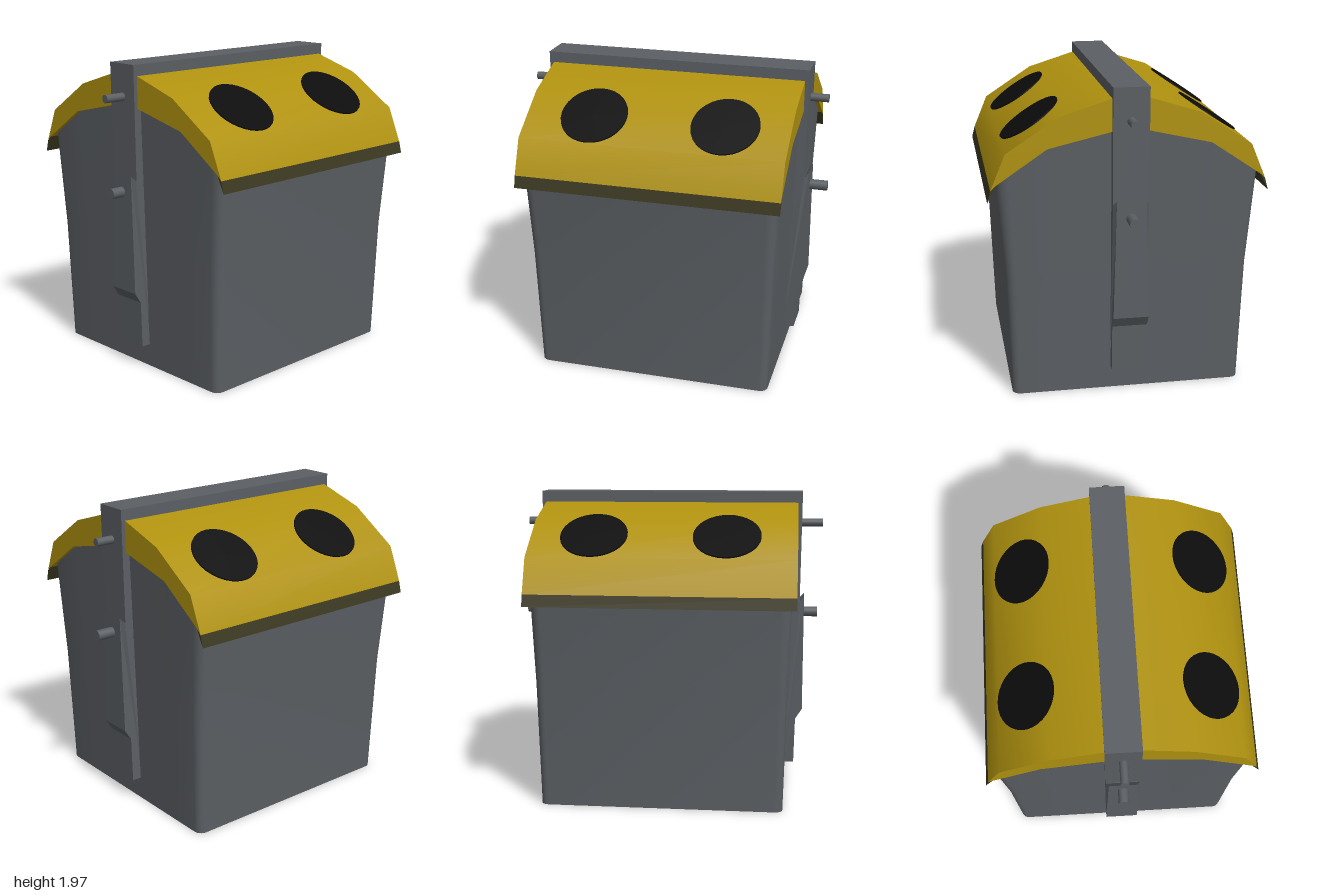
import * as THREE from 'three';
import { toCreasedNormals } from 'three/addons/utils/BufferGeometryUtils.js';

const mat = (name, color) => {
  const m = new THREE.MeshStandardMaterial({ color });
  m.name = name;
  return m;
};

// Extrude a closed outline, centred along its depth
function slab(points, depth) {
  const shape = new THREE.Shape(points.map(([x, y]) => new THREE.Vector2(x, y)));
  return new THREE.ExtrudeGeometry(shape, { depth, bevelEnabled: false }).translate(0, 0, -depth / 2);
}

// Lid half profiles from the ridge outwards
const OUTER = [[0, 1.92], [0.11, 1.9], [0.43, 1.8], [0.75, 1.59], [0.842, 1.37]];
const INNER = [[0, 1.715], [0.11, 1.7], [0.5, 1.61], [0.81, 1.4]];
const flip = (pts) => pts.map(([x, y]) => [-x, y]);

function innerY(x) {
  const a = Math.min(Math.abs(x), 0.81);
  for (let i = 1; i < INNER.length; i++) {
    const [x0, y0] = INNER[i - 1], [x1, y1] = INNER[i];
    if (a <= x1) return y0 + (y1 - y0) * (a - x0) / (x1 - x0);
  }
  return 1.4;
}

// Rounded rectangle loop with extra points along front and back
function ring(w, d, r, yAt) {
  const quarter = [];
  for (const t of [0, 0.11, 0.5]) quarter.push([t * w / 0.81, d]);
  for (let i = 0; i <= 5; i++) {
    const a = (Math.PI / 2) * (1 - i / 5);
    quarter.push([w - r + r * Math.cos(a), d - r + r * Math.sin(a)]);
  }
  const right = [...quarter, ...quarter.slice(1).reverse().map(([x, z]) => [x, -z])];
  right.push([0, -d]);
  const left = right.slice(1, -1).reverse().map(([x, z]) => [-x, z]);
  return [...right, ...left].map(([x, z]) => [x, yAt(x), z]);
}

function bodyGeometry() {
  const rings = [
    ring(0.735, 0.77, 0.05, () => 0),
    ring(0.76, 0.79, 0.06, () => 0.8),
    ring(0.81, 0.813, 0.07, (x) => innerY(x) + 0.015),
  ];
  const n = rings[0].length, pos = rings.flat(2), idx = [];
  for (let k = 0; k < rings.length - 1; k++) {
    for (let i = 0; i < n; i++) {
      const a = k * n + i, b = k * n + (i + 1) % n;
      idx.push(a, b, b + n, a, b + n, a + n);
    }
  }
  for (let i = 1; i < n - 1; i++) idx.push(0, i + 1, i);
  const g = new THREE.BufferGeometry();
  g.setAttribute('position', new THREE.Float32BufferAttribute(pos, 3));
  g.setIndex(idx);
  return toCreasedNormals(g, 0.7);
}

export function createModel() {
  const grey = mat('slate grey', 0x5b5f63);
  const yellow = mat('mustard yellow', 0xb0920f);
  const olive = mat('dark olive', 0x3b3821);
  const black = mat('black', 0x0c0c0c);
  const root = new THREE.Group();
  root.name = 'recyclingBin';
  const add = (name, geo, m) => {
    const mesh = new THREE.Mesh(geo, m);
    mesh.name = name;
    root.add(mesh);
    return mesh;
  };

  add('body', bodyGeometry(), grey);

  // Arched lid
  const lid = [...flip(OUTER).reverse(), ...OUTER.slice(1), ...[...INNER].reverse(), ...flip(INNER).slice(1)];
  add('lid', toCreasedNormals(slab(lid, 1.675), 0.65), yellow);

  for (const s of [1, -1]) {
    // Drooping lip along each lid edge
    const lip = [[0.81, 1.4], [0.842, 1.37], [0.862, 1.295]].map(([x, y]) => [s * x, y]);
    add(s > 0 ? 'leftLip' : 'rightLip', slab(lip, 1.675), olive);

    // Round openings lying on the sloping lid panel
    const slope = Math.atan2(0.21, 0.32);
    for (const z of [0.4, -0.435]) {
      const hole = add('opening', new THREE.CylinderGeometry(0.213, 0.213, 0.009, 32), black);
      hole.position.set(s * 0.568, 1.715, z);
      hole.rotation.z = -s * slope;
    }
  }

  // Strap over the lid
  const strap = [[-0.865, 1.97], [-0.857, 1.2], [-0.8, 1.2], [-0.81, 1.88],
    [0.81, 1.88], [0.8, 1.2], [0.857, 1.2], [0.865, 1.97]];
  add('strap', slab(strap, 0.222).rotateY(-Math.PI / 2), grey);

  // Latch and pegs on front and back
  for (const s of [1, -1]) {
    const side = new THREE.Group();
    side.name = s > 0 ? 'frontLatch' : 'backLatch';
    side.rotation.y = s > 0 ? 0 : Math.PI;
    const profile = [[0.76, 0.15], [0.835, 0.15], [0.842, 0.45], [0.886, 0.52],
      [0.886, 1.28], [0.86, 1.25], [0.79, 1.25]];
    const g = slab(profile, 0.222).rotateY(-Math.PI / 2);
    const p = g.attributes.position;
    for (let i = 0; i < p.count; i++) {
      if (p.getY(i) > 1.27) p.setX(i, p.getX(i) * 0.82);
    }
    const latch = new THREE.Mesh(toCreasedNormals(g, 0.5), grey);
    latch.name = 'latch';
    side.add(latch);
    const ends = s > 0 ? [1.0, 0.975] : [0.98, 1.0];
    [[1.765, 0.026], [1.168, 0.033]].forEach(([y, r], i) => {
      const len = ends[i] - 0.82;
      const peg = new THREE.Mesh(new THREE.CylinderGeometry(r, r, len, 16).rotateX(Math.PI / 2), grey);
      peg.name = i ? 'lowerPeg' : 'upperPeg';
      peg.position.set(0, y, 0.82 + len / 2);
      side.add(peg);
    });
    root.add(side);
  }
  return root;
}
